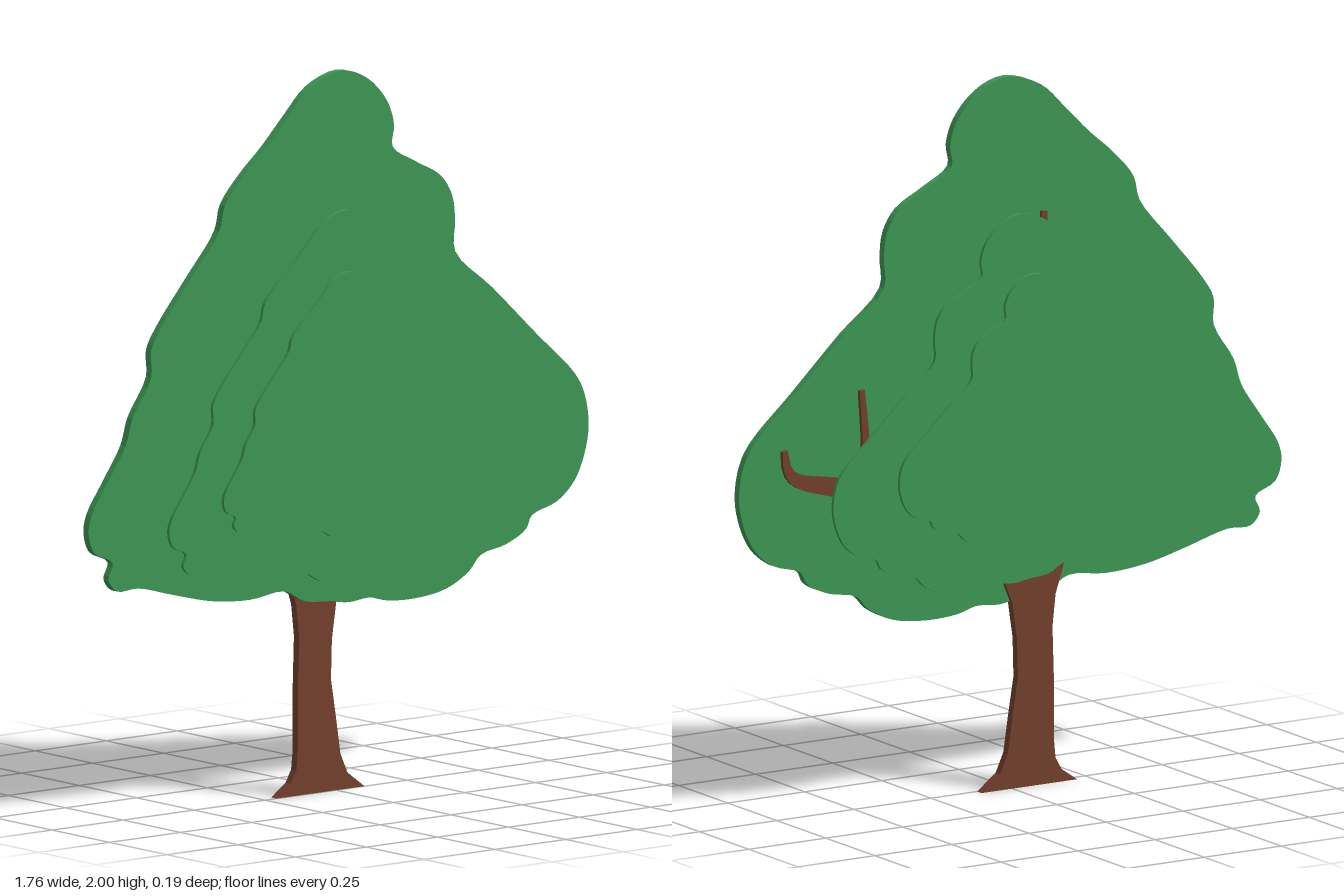
import * as THREE from 'three';

// Crown silhouette as x, y pairs, clockwise from the top
const CROWN = [
  0.01, 2, 0.1, 1.97, 0.17, 1.9, 0.195, 1.83, 0.19, 1.77, 0.27, 1.72, 0.36, 1.67, 0.4, 1.61,
  0.41, 1.54, 0.41, 1.455, 0.54, 1.34, 0.7, 1.19, 0.83, 1.07, 0.865, 1.01, 0.88, 0.92, 0.865, 0.84,
  0.83, 0.77, 0.77, 0.72, 0.68, 0.69, 0.66, 0.655, 0.59, 0.62, 0.5, 0.6, 0.46, 0.56, 0.38, 0.52,
  0.27, 0.505, 0.17, 0.51, 0.11, 0.525, 0.035, 0.52, -0.03, 0.53, -0.12, 0.54, -0.19, 0.575,
  -0.31, 0.565, -0.44, 0.575, -0.57, 0.605, -0.705, 0.64, -0.78, 0.64, -0.81, 0.675, -0.795, 0.72,
  -0.86, 0.755, -0.88, 0.81, -0.87, 0.86, -0.81, 0.95, -0.75, 1.04, -0.725, 1.115, -0.66, 1.22,
  -0.66, 1.295, -0.625, 1.355, -0.52, 1.48, -0.42, 1.6, -0.4, 1.67, -0.335, 1.745, -0.255, 1.815,
  -0.175, 1.895, -0.1, 1.965,
];

const TRUNK = [
  -0.21, 0, -0.16, 0.035, -0.14, 0.07, -0.135, 0.12, -0.135, 0.28, -0.13, 0.44, -0.14, 0.53,
  -0.17, 0.62, -0.13, 0.7, -0.02, 0.7, 0.04, 0.62, 0, 0.52, -0.015, 0.42, -0.018, 0.31,
  0, 0.2, 0.015, 0.1, 0.04, 0.045, 0.1, 0,
];

const toPoints = (list) => {
  const points = [];
  for (let i = 0; i < list.length; i += 2) points.push(new THREE.Vector2(list[i], list[i + 1]));
  return points;
};

// Flat board cut to an outline, lying between z0 and z1
function board(name, points, z0, z1, material) {
  const geometry = new THREE.ExtrudeGeometry(new THREE.Shape(points), { depth: z1 - z0, bevelEnabled: false });
  geometry.translate(0, 0, z0);
  const mesh = new THREE.Mesh(geometry, material);
  mesh.name = name;
  return mesh;
}

// Outline of a curved branch tapering from width w0 to w1
function branchOutline(path, w0, w1) {
  const curve = new THREE.SplineCurve(toPoints(path));
  const left = [], right = [], steps = 16;
  for (let i = 0; i <= steps; i++) {
    const t = i / steps;
    const p = curve.getPoint(t), d = curve.getTangent(t);
    const half = (w0 + (w1 - w0) * t) / 2;
    left.push(new THREE.Vector2(p.x - d.y * half, p.y + d.x * half));
    right.unshift(new THREE.Vector2(p.x + d.y * half, p.y - d.x * half));
  }
  return left.concat(right);
}

export function createModel() {
  const tree = new THREE.Group();
  tree.name = 'tree';
  const leafGreen = new THREE.MeshStandardMaterial({ color: 0x3d9956 });
  leafGreen.name = 'leafGreen';
  const barkBrown = new THREE.MeshStandardMaterial({ color: 0x74402d });
  barkBrown.name = 'barkBrown';

  // Main crown board
  const loop = new THREE.CatmullRomCurve3(toPoints(CROWN).map((p) => new THREE.Vector3(p.x, p.y, 0)), true, 'centripetal');
  const outline = loop.getPoints(216).slice(0, -1).map((p) => new THREE.Vector2(p.x, p.y));
  tree.add(board('crown', outline, -0.012, 0.011, leafGreen));

  // Smaller copies floating in front and behind
  const layers = [
    { name: 'middleLayer', scale: 0.7, x: -0.015, y: 0.2215, z: 0.05 },
    { name: 'outerLayer', scale: 0.5, x: -0.03, y: 0.4575, z: 0.088 },
  ];
  for (const { name, scale, x, y, z } of layers) {
    const points = outline.map((p) => new THREE.Vector2(p.x * scale + x, p.y * scale + y));
    for (const side of [1, -1]) {
      tree.add(board(name + (side > 0 ? 'Front' : 'Back'), points, side * z - 0.005, side * z + 0.005, leafGreen));
    }
  }

  // Trunk, set slightly behind the crown
  const back = -0.023;
  tree.add(board('trunk', toPoints(TRUNK), back, 0, barkBrown));

  // Branches against the back of the crown
  const branches = [
    ['centreBranch', [-0.08, 0.66, -0.06, 0.95, -0.1, 1.25, -0.105, 1.61], 0.1, 0.016],
    ['lowerLeftBranch', [-0.04, 0.62, 0.15, 0.77, 0.4, 0.87, 0.58, 0.92, 0.68, 0.945, 0.725, 0.98, 0.737, 1.04], 0.09, 0.016],
    ['leftTwig', [0.42, 0.87, 0.47, 0.95, 0.475, 1.05, 0.487, 1.18], 0.035, 0.016],
    ['lowerRightBranch', [-0.1, 0.62, -0.26, 0.73, -0.43, 0.79, -0.52, 0.84, -0.547, 0.91], 0.08, 0.016],
  ];
  for (const [name, path, w0, w1] of branches) {
    tree.add(board(name, branchOutline(path, w0, w1), back, -0.005, barkBrown));
  }
  return tree;
}
